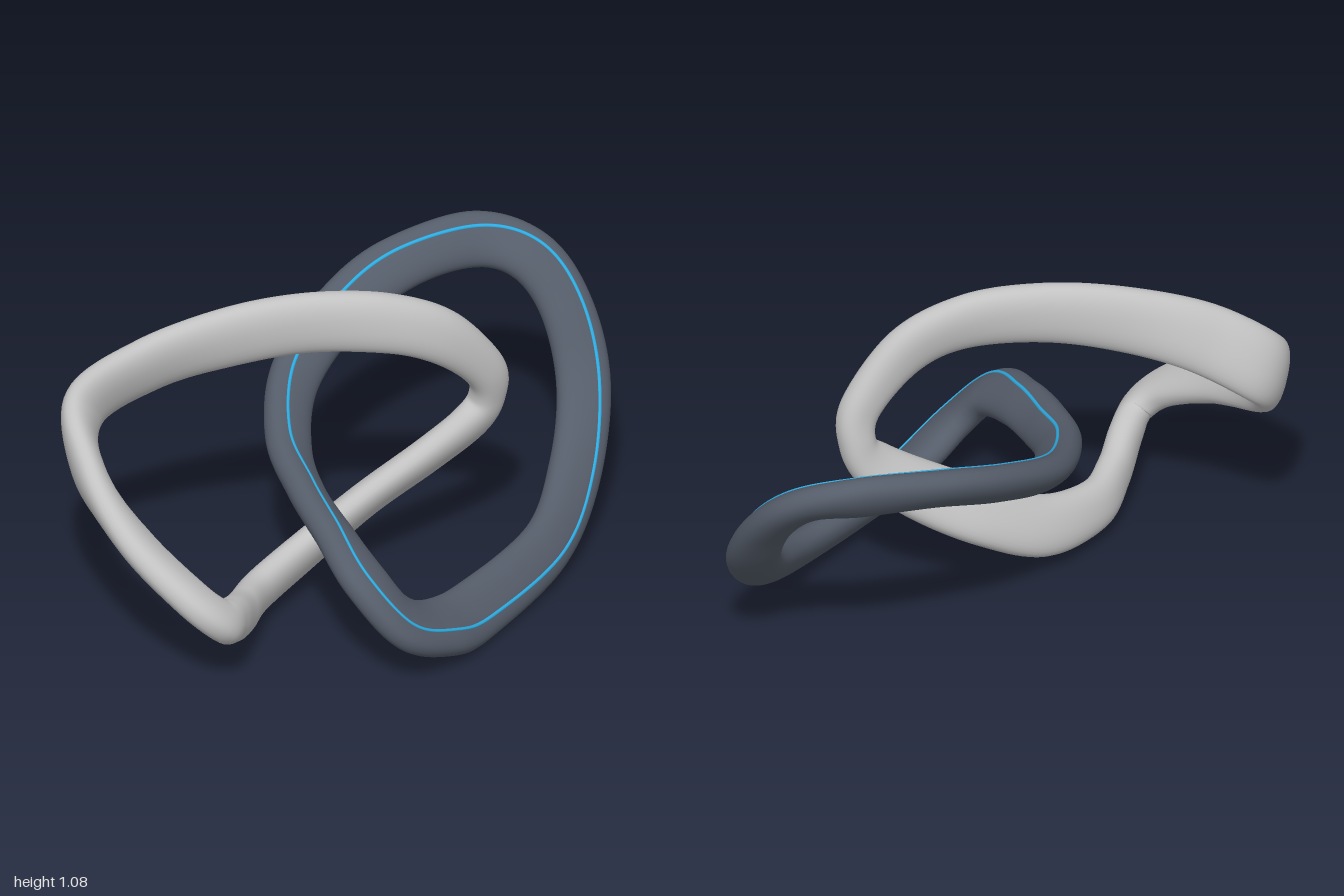
import * as THREE from 'three';

const paleGrey = new THREE.MeshStandardMaterial({ color: 0xc2c2c2 });
const slate = new THREE.MeshStandardMaterial({ color: 0x555d6a });
const skyBlue = new THREE.MeshStandardMaterial({ color: 0x2eace2 });

// Each station: centre x, y, z, outward direction of the band x, y, z, half width
const darkStations = [
  [-0.42, 0.345, 0.39, -0.85, 0.15, 0.3, 0.095],
  [-0.36, 0.22, 0.49, -0.5, -0.3, 0.7, 0.105],
  [-0.2, 0.135, 0.495, 0, -0.5, 0.8, 0.105],
  [0, 0.1, 0.455, 0, -0.7, 0.7, 0.1],
  [0.4, 0.125, 0.36, 0.2, -0.75, 0.5, 0.09],
  [0.66, 0.235, 0.225, 0.55, -0.55, 0.5, 0.09],
  [0.84, 0.42, 0.08, 0.83, -0.13, 0.5, 0.088],
  [0.9, 0.62, -0.06, 0.9, 0.1, 0.25, 0.088],
  [0.875, 0.76, -0.2, 0.88, 0.4, -0.05, 0.09],
  [0.755, 0.81, -0.34, 0.45, 0.75, -0.3, 0.09],
  [0.5, 0.78, -0.43, 0, 0.7, -0.65, 0.09],
  [0.25, 0.7, -0.44, -0.1, 0.7, -0.65, 0.088],
  [0, 0.6, -0.37, -0.3, 0.6, -0.6, 0.085],
  [-0.2, 0.52, -0.19, -0.6, 0.6, -0.4, 0.083],
  [-0.305, 0.465, 0, -0.7, 0.7, 0, 0.085],
  [-0.375, 0.42, 0.2, -0.8, 0.5, 0.1, 0.085],
];
const paleStations = [
  [0.355, 0.61, 0.14, 0.9, 0, 0.1, 0.06],
  [0.325, 0.73, 0.155, 0.7, 0.35, 0.15, 0.07],
  [0.17, 0.895, 0.115, 0.5, 0.85, 0.05, 0.09],
  [0, 0.975, 0.025, 0.1, 1, -0.1, 0.1],
  [-0.2, 0.995, -0.12, 0, 1, 0, 0.105],
  [-0.4, 0.96, -0.27, -0.15, 0.95, 0.05, 0.11],
  [-0.6, 0.88, -0.42, -0.45, 0.85, 0.1, 0.115],
  [-0.77, 0.745, -0.53, -0.55, 0.75, 0.15, 0.115],
  [-0.875, 0.6, -0.4, -0.45, 0.75, 0.4, 0.11],
  [-0.915, 0.47, -0.15, -0.75, 0.5, 0.3, 0.1],
  [-0.88, 0.345, 0.06, -0.8, 0.2, 0.45, 0.085],
  [-0.81, 0.26, 0.13, -0.6, -0.2, 0.6, 0.075],
  [-0.72, 0.21, 0.09, -0.4, -0.75, 0.3, 0.075],
  [-0.6, 0.155, 0.01, -0.1, -0.9, 0, 0.08],
  [-0.45, 0.135, -0.07, 0, -0.9, -0.25, 0.085],
  [-0.21, 0.175, -0.1, 0.2, -0.75, -0.4, 0.1],
  [0, 0.29, -0.05, 0.5, -0.6, -0.5, 0.11],
  [0.19, 0.415, 0.04, 0.6, -0.6, -0.45, 0.1],
  [0.31, 0.52, 0.11, 0.75, -0.45, -0.2, 0.08],
];

// Smooth closed path with a width direction that turns along it
function makeFrames(stations) {
  const centres = stations.map((s) => new THREE.Vector3(s[0], s[1], s[2]));
  const widths = stations.map((s) => new THREE.Vector3(s[3], s[4], s[5]).setLength(s[6]));
  const path = new THREE.CatmullRomCurve3(centres, true, 'catmullrom', 0.5);
  const turn = new THREE.CatmullRomCurve3(widths, true, 'catmullrom', 0.5);
  return (t) => {
    const tangent = path.getTangent(t);
    const raw = turn.getPoint(t);
    const half = raw.length();
    const across = raw.addScaledVector(tangent, -raw.dot(tangent)).normalize();
    const normal = new THREE.Vector3().crossVectors(across, tangent);
    return { centre: path.getPoint(t), across, normal, half };
  };
}

// Closed sweep of a section function over the frames
function sweep(frameAt, section, steps, sides) {
  const positions = [];
  const indices = [];
  for (let i = 0; i < steps; i++) {
    const f = frameAt(i / steps);
    for (let j = 0; j < sides; j++) {
      const [u, v] = section((j / sides) * Math.PI * 2, f.half);
      const p = f.centre.clone().addScaledVector(f.across, u).addScaledVector(f.normal, v);
      positions.push(p.x, p.y, p.z);
      const a = i * sides + j;
      const b = i * sides + ((j + 1) % sides);
      const c = ((i + 1) % steps) * sides + j;
      const d = ((i + 1) % steps) * sides + ((j + 1) % sides);
      indices.push(a, b, c, b, d, c);
    }
  }
  const geometry = new THREE.BufferGeometry();
  geometry.setAttribute('position', new THREE.Float32BufferAttribute(positions, 3));
  geometry.setIndex(indices);
  // Turn the faces outward when the enclosed volume comes out negative
  const [a, b, c] = [0, 1, 2].map(() => new THREE.Vector3());
  let volume = 0;
  for (let k = 0; k < indices.length; k += 3) {
    a.fromArray(positions, indices[k] * 3);
    b.fromArray(positions, indices[k + 1] * 3);
    c.fromArray(positions, indices[k + 2] * 3);
    volume += a.dot(b.cross(c));
  }
  if (volume < 0) geometry.setIndex(indices.reverse());
  geometry.computeVertexNormals();
  return geometry;
}

// Soft flattened oval section
const thickness = 0.053;
const soften = (x) => Math.sign(x) * Math.abs(x) ** 0.88;
const bandSection = (angle, half) => [half * soften(Math.cos(angle)), thickness * soften(Math.sin(angle))];

// Thin inlay bead lying on one face of the band, towards its outer edge
function inlaySection(side) {
  return (angle, half) => {
    const [u, v] = bandSection(side * Math.PI * 0.37, half);
    return [u + 0.006 * Math.cos(angle), v + 0.004 * Math.sin(angle)];
  };
}

export function createModel() {
  const group = new THREE.Group();
  group.name = 'interlockedRings';
  const add = (name, geometry, material) => {
    const mesh = new THREE.Mesh(geometry, material);
    mesh.name = name;
    group.add(mesh);
  };

  const darkFrames = makeFrames(darkStations);
  const paleFrames = makeFrames(paleStations);
  add('darkRing', sweep(darkFrames, bandSection, 200, 32), slate);
  add('paleRing', sweep(paleFrames, bandSection, 200, 32), paleGrey);

  // The inlay sits on whichever face of the dark ring looks up at the front
  const side = darkFrames(3 / darkStations.length).normal.y > 0 ? 1 : -1;
  add('blueInlay', sweep(darkFrames, inlaySection(side), 200, 8), skyBlue);
  return group;
}
